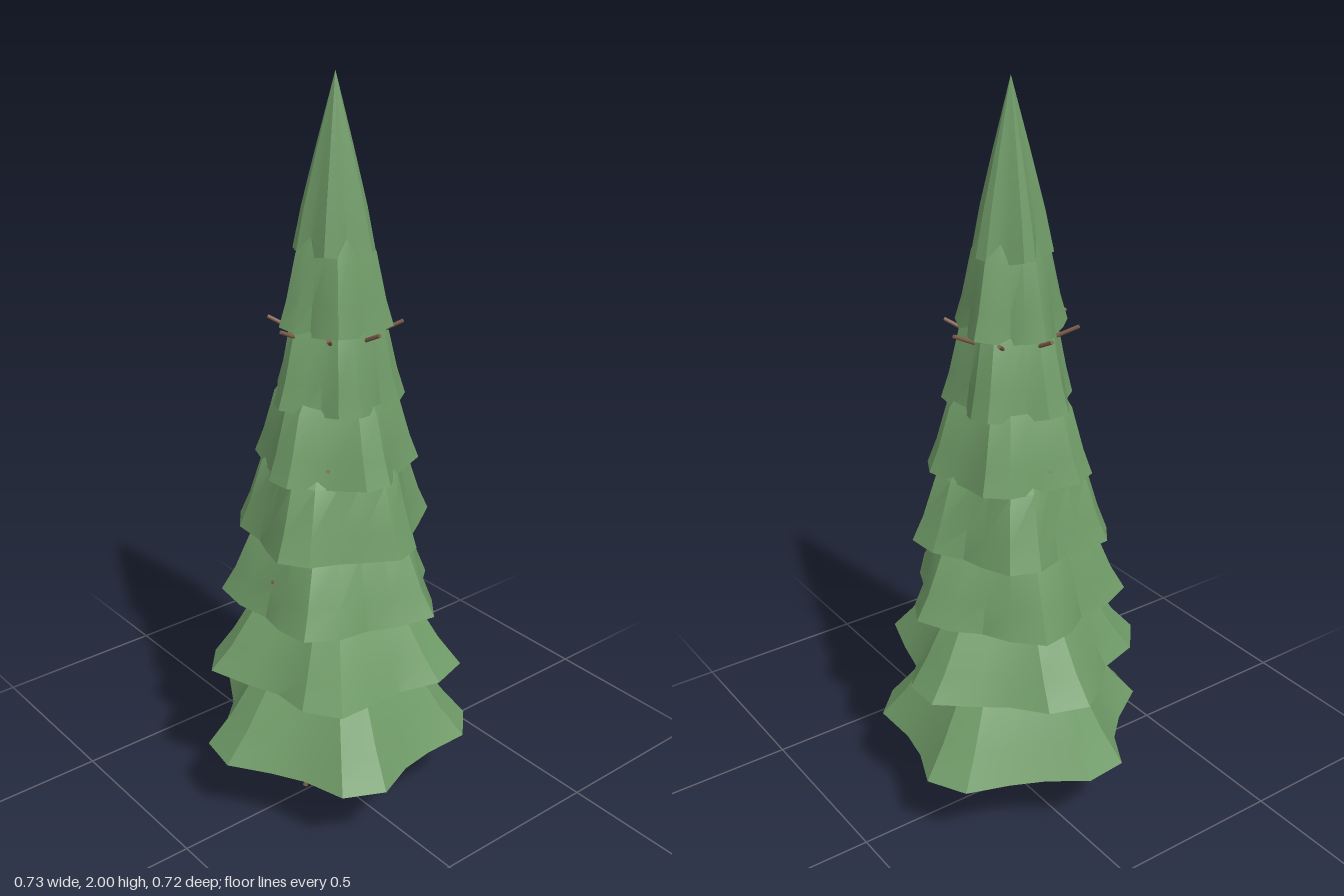
import * as THREE from 'three';
import { toCreasedNormals } from 'three/addons/utils/BufferGeometryUtils.js';

const SIDES = 20;
const CENTRE = 0.008; // the trunk stands slightly off the origin in x and z

// Each tier: bottom height, mean hem radius, rings as [height above hem, radius ratio]
const skirt = (rise, k) => [[0, 1], [rise * 0.38, 1 - (1 - k) * 0.42], [rise, k], [rise + 0.1, k * 0.55]];
const TIERS = [
  [0.21, 0.338, skirt(0.23, 0.58)],
  [0.44, 0.312, skirt(0.19, 0.64)],
  [0.63, 0.268, skirt(0.19, 0.74)],
  [0.82, 0.238, skirt(0.19, 0.77)],
  [1.01, 0.2, skirt(0.18, 0.76)],
  [1.19, 0.159, skirt(0.195, 0.75)],
  [1.385, 0.131, skirt(0.19, 0.72)],
  [1.575, 0.094, [[0, 1], [0.11, 0.8], [0.25, 0.46], [0.425, 0]]],
];

// Small seeded random in -1..1
function makeRandom(seed) {
  let s = seed;
  return () => {
    s = (s * 16807) % 2147483647;
    return (s / 2147483647) * 2 - 1;
  };
}

// Open skirt with five soft lobes round the hem, fading upward
function tierGeometry(radius, rings, phase, random) {
  const positions = [];
  const indices = [];
  const wobble = Array.from({ length: SIDES }, () => random() * 0.015);
  rings.forEach(([y, ratio], j) => {
    const fade = 1 - 0.15 * j;
    for (let i = 0; i < SIDES; i++) {
      const a = (i / SIDES) * Math.PI * 2;
      const lobe = Math.cos(5 * (a - phase));
      const r = radius * ratio * (1 + (0.135 * lobe + wobble[i]) * fade);
      const lift = j === 0 ? 0.006 * lobe : 0;
      positions.push(Math.sin(a) * r, y + lift, -Math.cos(a) * r);
    }
  });
  for (let j = 0; j < rings.length - 1; j++) {
    for (let i = 0; i < SIDES; i++) {
      const n = (i + 1) % SIDES;
      const A = j * SIDES + i, B = j * SIDES + n;
      const C = B + SIDES, D = A + SIDES;
      indices.push(B, A, D);
      if (rings[j + 1][1] > 0) indices.push(B, D, C);
    }
  }
  const geometry = new THREE.BufferGeometry();
  geometry.setAttribute('position', new THREE.Float32BufferAttribute(positions, 3));
  geometry.setIndex(indices);
  return toCreasedNormals(geometry, THREE.MathUtils.degToRad(24));
}

// Round stick between two points
function stick(name, from, to, r0, r1, material) {
  const dir = to.clone().sub(from);
  const mesh = new THREE.Mesh(new THREE.CylinderGeometry(r1, r0, dir.length(), 8), material);
  mesh.name = name;
  mesh.position.copy(from).addScaledVector(dir, 0.5);
  mesh.quaternion.setFromUnitVectors(new THREE.Vector3(0, 1, 0), dir.normalize());
  return mesh;
}

export function createModel() {
  const needleGreen = new THREE.MeshStandardMaterial({ color: 0x6f9a67, side: THREE.DoubleSide });
  needleGreen.name = 'needle green';
  const barkBrown = new THREE.MeshStandardMaterial({ color: 0x7d5d4b });
  barkBrown.name = 'bark brown';

  const tree = new THREE.Group();
  tree.name = 'firTree';
  const random = makeRandom(71);

  // Foliage: the lobes turn a little from tier to tier
  const foliage = new THREE.Group();
  foliage.name = 'foliage';
  TIERS.forEach(([y, radius, rings], t) => {
    const phase = THREE.MathUtils.degToRad(-9 + 13.3 * t);
    const mesh = new THREE.Mesh(tierGeometry(radius, rings, phase, random), needleGreen);
    mesh.name = `foliageTier${t + 1}`;
    mesh.position.y = y;
    foliage.add(mesh);
  });
  tree.add(foliage);

  // Trunk, tapering inside the foliage
  const trunk = new THREE.Mesh(new THREE.CylinderGeometry(0.012, 0.036, 1.75, 12), barkBrown);
  trunk.name = 'trunk';
  trunk.position.y = 0.875;
  tree.add(trunk);

  // Whorls of bare branches, angled upward: [tip height, reach]
  const branches = new THREE.Group();
  branches.name = 'branches';
  [[0.72, 0.21], [1.055, 0.17], [1.397, 0.17]].forEach(([y, reach]) => {
    for (let i = 0; i < 8; i++) {
      const a = (i / 8) * Math.PI * 2;
      const at = (r, h) => new THREE.Vector3(Math.sin(a) * r, h, Math.cos(a) * r);
      branches.add(stick('branch', at(0.015, y - (reach - 0.015) * 0.5), at(reach, y), 0.006, 0.005, barkBrown));
    }
  });
  tree.add(branches);

  // Two ribbed side braces leaning against the foot of the trunk
  for (const side of [1, -1]) {
    const brace = new THREE.Group();
    brace.name = side > 0 ? 'leftRootBrace' : 'rightRootBrace';
    const at = (x, y) => new THREE.Vector3(side * x, y, 0);
    brace.add(stick('braceRail', at(0.02, 0.25), at(0.108, 0.022), 0.007, 0.007, barkBrown));
    for (let i = 0; i < 7; i++) {
      const y = 0.045 + i * 0.026;
      const outer = 0.108 - (y - 0.022) * 0.386;
      brace.add(stick('braceRib', at(Math.max(outer - 0.045, 0.02), y + 0.035), at(outer, y - 0.015), 0.005, 0.005, barkBrown));
    }
    tree.add(brace);
  }

  tree.position.set(CENTRE, 0, CENTRE);
  const model = new THREE.Group();
  model.name = 'model';
  model.add(tree);
  return model;
}
